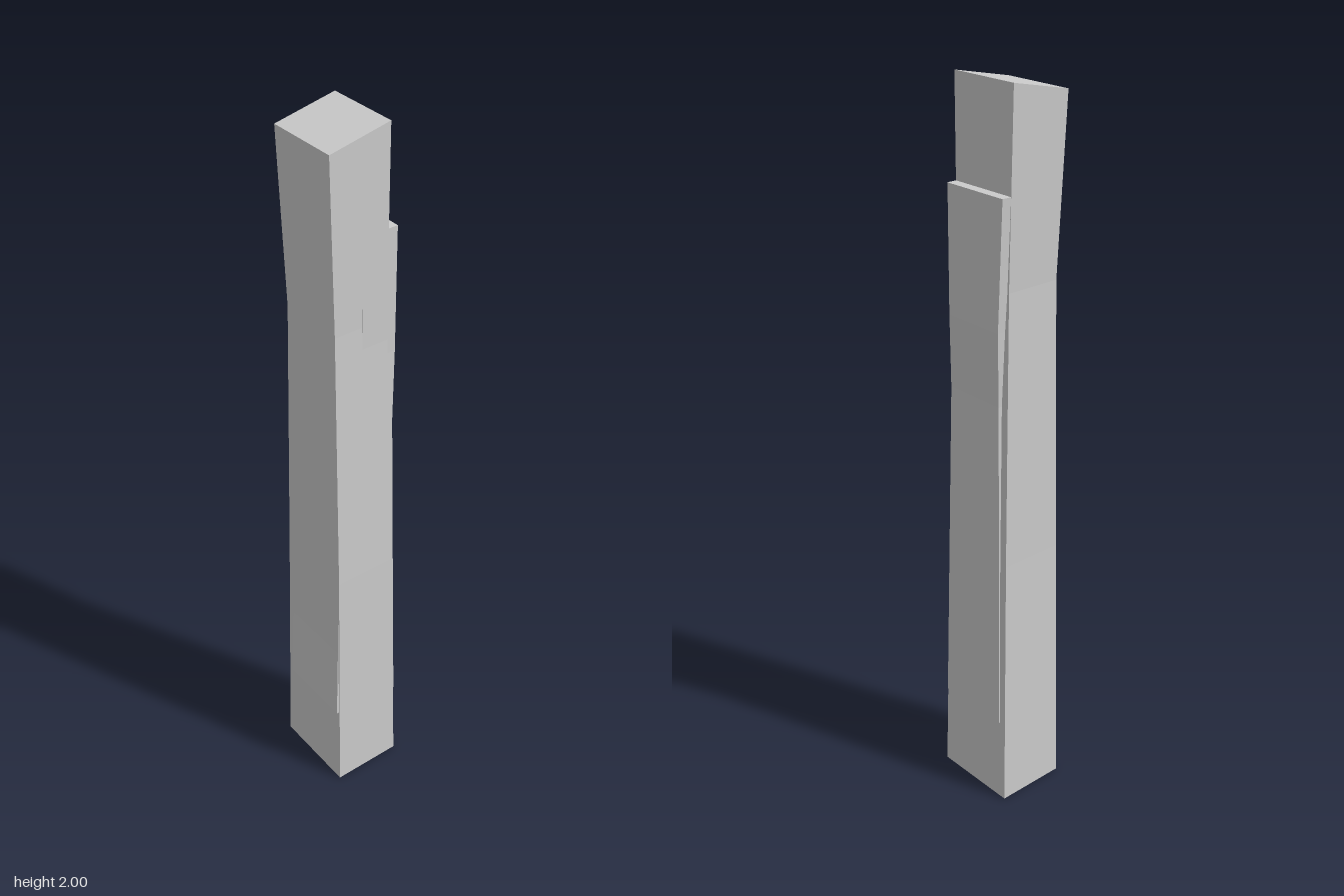
import * as THREE from 'three';

const material = new THREE.MeshStandardMaterial({ color: 0xcccccc, flatShading: true });

// Closed rectangular loft; each section is [yLeft, yRight, xMin, xMax, zBack, zFront]
function loft(name, sections) {
  const pos = [];
  const idx = [];
  for (const [yl, yr, x0, x1, z0, z1] of sections) {
    pos.push(x0, yl, z1, x1, yr, z1, x1, yr, z0, x0, yl, z0);
  }
  for (let i = 0; i < sections.length - 1; i++) {
    for (let k = 0; k < 4; k++) {
      const a = i * 4 + k;
      const b = i * 4 + (k + 1) % 4;
      idx.push(a, b, b + 4, a, b + 4, a + 4);
    }
  }
  const t = (sections.length - 1) * 4;
  idx.push(0, 2, 1, 0, 3, 2, t, t + 1, t + 2, t, t + 2, t + 3);
  const indexed = new THREE.BufferGeometry();
  indexed.setAttribute('position', new THREE.Float32BufferAttribute(pos, 3));
  indexed.setIndex(idx);
  const geometry = indexed.toNonIndexed();
  geometry.computeVertexNormals();
  const mesh = new THREE.Mesh(geometry, material);
  mesh.name = name;
  return mesh;
}

export function createModel() {
  const group = new THREE.Group();
  group.name = 'hewnPost';

  // Tapered post with a narrow waist and a slanted top
  group.add(loft('post', [
    [0, 0, -0.103, 0.1, -0.125, 0.128],
    [0.75, 0.75, -0.092, 0.088, -0.117, 0.11],
    [1.5, 1.5, -0.081, 0.075, -0.112, 0.08],
    [1.965, 2, -0.092, 0.078, -0.13, 0.076],
  ]));

  // Long split slab on the left side, ending in a ledge below the top
  group.add(loft('leftSlab', [
    [0.25, 0.25, 0, 0.1, -0.102, 0.119],
    [0.7, 0.7, 0, 0.093, -0.095, 0.109],
    [1.2, 1.2, 0, 0.091, -0.092, 0.091],
    [1.4, 1.4, 0, 0.1, -0.1, 0.083],
    [1.738, 1.738, 0, 0.103, -0.12, 0.078],
  ]));

  // Thin chip on the right side that sinks into the post upwards
  group.add(loft('rightChip', [
    [0.27, 0.27, -0.106, 0, -0.102, 0.118],
    [0.5, 0.5, -0.098, 0, -0.1, 0.112],
    [0.9, 0.9, -0.088, 0, -0.098, 0.1],
  ]));

  return group;
}
